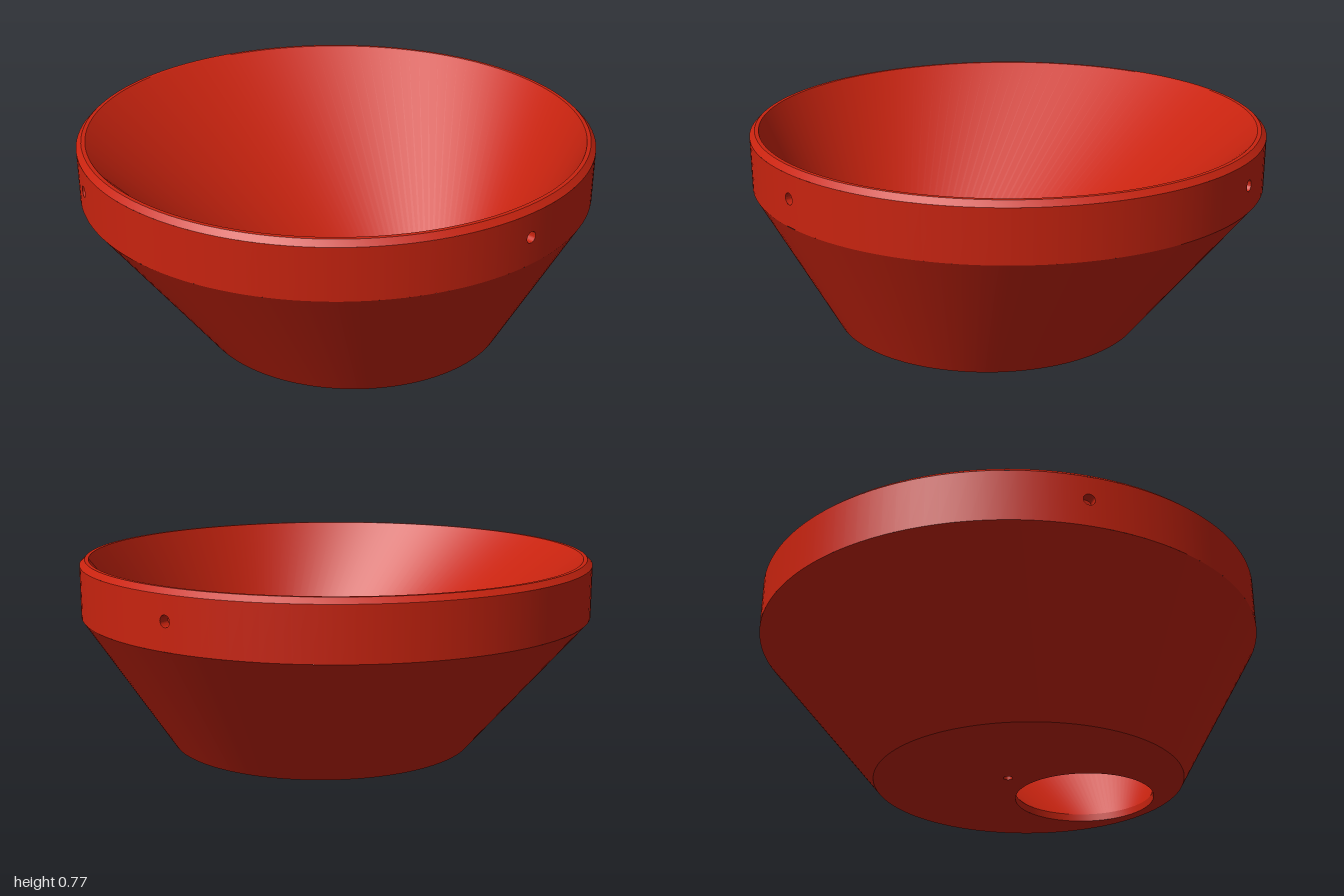
import * as THREE from 'three';
import { toCreasedNormals } from 'three/addons/utils/BufferGeometryUtils.js';

const SEG = 128;
const BAND_LOW = 0.55, BAND_HIGH = 0.75, TOP = 0.77;
const BASE_R = 0.61, BASE_Z = 0.1;          // bottom disc
const BORE_R = 0.28, BORE_Z = 0.385, BORE_H = 0.03; // offset opening in the base
const PIN_R = 0.022, PIN_Y = 0.657, PIN_DEPTH = 0.04;
const PATCH = 0.04;                         // half angle of the panel around each pin hole
const PIN_ANGLES = [-110, 0, 110].map(THREE.MathUtils.degToRad);

// Lathe whose rings slide along z by a rule of their height
function skewLathe(points, shift = () => 0, seg = SEG) {
  const g = new THREE.LatheGeometry(points.map(([r, y]) => new THREE.Vector2(r, y)), seg);
  const p = g.attributes.position;
  for (let i = 0; i < p.count; i++) p.setZ(i, p.getZ(i) + shift(p.getY(i)));
  return toCreasedNormals(g, 0.33);
}

// Blind round pocket, open towards +y
function pocket(r, depth) {
  return skewLathe([[r, 0], [r, -depth], [0, -depth]], undefined, 20);
}

function circlePath(x, y, r) {
  return new THREE.Path().absarc(x, y, r, 0, Math.PI * 2, true);
}

// Band panel with a round hole, wrapped on the unit cylinder
function pinPanel() {
  const s = new THREE.Shape();
  s.moveTo(-PATCH, BAND_LOW).lineTo(PATCH, BAND_LOW).lineTo(PATCH, BAND_HIGH).lineTo(-PATCH, BAND_HIGH);
  s.holes.push(circlePath(0, PIN_Y, PIN_R));
  const g = new THREE.ShapeGeometry(s, 20);
  const p = g.attributes.position, n = g.attributes.normal;
  for (let i = 0; i < p.count; i++) {
    const a = p.getX(i);
    p.setXYZ(i, Math.sin(a), p.getY(i), Math.cos(a));
    n.setXYZ(i, Math.sin(a), 0, Math.cos(a));
  }
  return g;
}

export function createModel() {
  const group = new THREE.Group();
  const red = new THREE.MeshStandardMaterial({ color: 0xc8230f });
  red.name = 'red';
  const add = (name, geometry, parent = group) => {
    const m = new THREE.Mesh(geometry, red);
    m.name = name;
    parent.add(m);
    return m;
  };

  // Slanted outer wall, from the offset base to the band
  add('outerWall', skewLathe([[BASE_R, 0], [1, BAND_LOW]], y => BASE_Z * (1 - y / BAND_LOW)));

  // Chamfered rim
  add('rim', skewLathe([[1, BAND_HIGH], [0.98, TOP], [0.965, TOP]]));

  // Funnel running down to the short straight bore
  add('funnel', skewLathe([[0.965, TOP], [BORE_R, BORE_H], [BORE_R, 0]],
    y => BORE_Z * Math.min(1, (TOP - y) / (TOP - BORE_H))));

  // Flat base with the bore and a small blind hole
  const base = new THREE.Shape().absarc(0, BASE_Z, BASE_R, 0, Math.PI * 2, false);
  base.holes.push(circlePath(0, BORE_Z, BORE_R), circlePath(0, 0, 0.018));
  add('base', new THREE.ShapeGeometry(base, SEG).rotateX(Math.PI / 2));
  add('baseHole', pocket(0.018, 0.04).rotateX(Math.PI));

  // Vertical band: arcs between the pin holes, then a holed panel at each
  PIN_ANGLES.forEach((angle, i) => {
    const next = i < 2 ? PIN_ANGLES[i + 1] : PIN_ANGLES[0] + Math.PI * 2;
    const arc = new THREE.CylinderGeometry(1, 1, BAND_HIGH - BAND_LOW, 44, 1, true,
      angle + PATCH, next - angle - 2 * PATCH);
    add('band', arc.translate(0, (BAND_LOW + BAND_HIGH) / 2, 0));

    const pin = new THREE.Group();
    pin.name = 'pinHole';
    pin.rotation.y = angle;
    add('pinPanel', pinPanel(), pin);
    add('pinPocket', pocket(PIN_R, PIN_DEPTH).rotateX(Math.PI / 2).translate(0, PIN_Y, 1), pin);
    group.add(pin);
  });

  return group;
}
